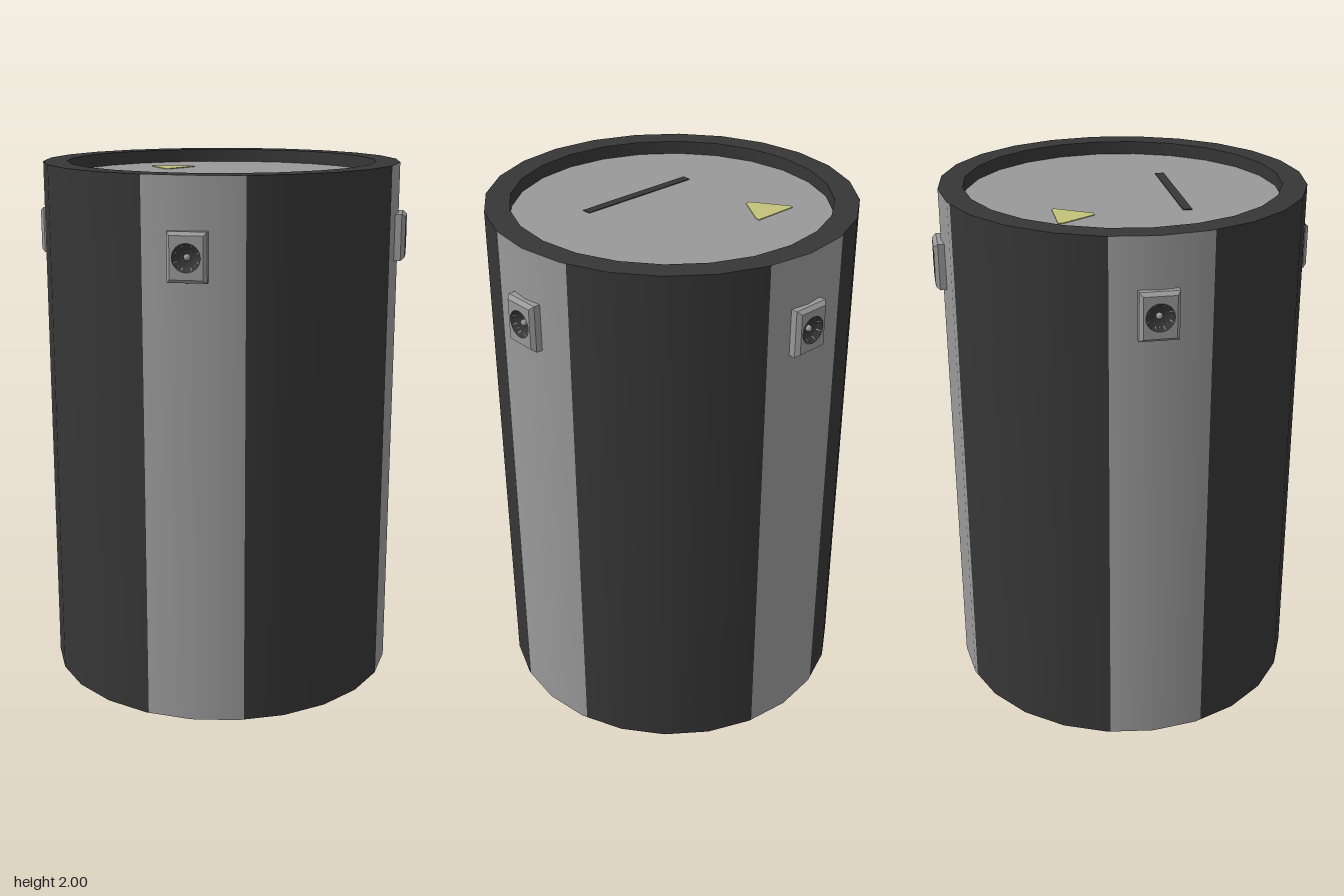
import * as THREE from 'three';
import { toCreasedNormals } from 'three/addons/utils/BufferGeometryUtils.js';

const R = 0.675, INNER = 0.585, H = 2, RECESS = 0.05, STEP = 15;

const material = (name, color) => {
  const m = new THREE.MeshStandardMaterial({ color });
  m.name = name;
  return m;
};

const add = (parent, name, geometry, mat) => {
  const mesh = new THREE.Mesh(geometry, mat);
  mesh.name = name;
  parent.add(mesh);
  return mesh;
};

// Upright wall panel between two angles (degrees, from +z towards +x) of a 24-sided drum
function wallPanel(from, to) {
  const angles = [from];
  for (let a = Math.ceil(from / STEP) * STEP; a < to; a += STEP) if (a > from) angles.push(a);
  angles.push(to);
  const pos = [], nor = [], idx = [];
  angles.forEach((a, i) => {
    const off = ((a % STEP) + STEP) % STEP - STEP / 2;
    const r = R * Math.cos(THREE.MathUtils.degToRad(STEP / 2)) / Math.cos(THREE.MathUtils.degToRad(off));
    const t = THREE.MathUtils.degToRad(a), s = Math.sin(t), c = Math.cos(t);
    pos.push(r * s, 0, r * c, r * s, H, r * c);
    nor.push(s, 0, c, s, 0, c);
    if (i) {
      const k = 2 * i - 2;
      idx.push(k, k + 2, k + 3, k, k + 3, k + 1);
    }
  });
  const g = new THREE.BufferGeometry();
  g.setAttribute('position', new THREE.Float32BufferAttribute(pos, 3));
  g.setAttribute('normal', new THREE.Float32BufferAttribute(nor, 3));
  g.setIndex(idx);
  return g;
}

const lathe = (points, segments) =>
  new THREE.LatheGeometry(points.map(([x, y]) => new THREE.Vector2(x, y)), segments);

// Thin horizontal plate from an outline in x and z
function plate(points) {
  const shape = new THREE.Shape(points.map(([x, z]) => new THREE.Vector2(x, z)));
  return new THREE.ExtrudeGeometry(shape, { depth: 0.004, bevelEnabled: false }).rotateX(Math.PI / 2);
}

// Bevelled rectangular housing with a round opening, facing +z
function housingGeometry() {
  const w = 0.058, h = 0.075;
  const shape = new THREE.Shape([[-w, -h], [w, -h], [w, h], [-w, h]].map(([x, y]) => new THREE.Vector2(x, y)));
  const hole = new THREE.Path();
  hole.absarc(0, 0, 0.05, 0, Math.PI * 2, true);
  shape.holes.push(hole);
  return new THREE.ExtrudeGeometry(shape, {
    depth: 0.05, bevelThickness: 0.015, bevelSize: 0.012, bevelSegments: 1, curveSegments: 12,
  }).translate(0, 0, 0.64);
}

export function createModel() {
  const model = new THREE.Group();
  model.name = 'drum';
  const dark = material('darkGrey', 0x363636);
  const light = material('lightGrey', 0x999999);
  const yellow = material('paleYellow', 0xc3c17a);

  // Drum wall: four light stripes between dark panels
  const a0 = -14.2, a1 = 16.85;
  for (let i = 0; i < 4; i++) {
    add(model, 'lightStripe', wallPanel(i * 90 + a0, i * 90 + a1), light);
    add(model, 'darkPanel', wallPanel(i * 90 + a1, i * 90 + 90 + a0), dark);
  }

  // Rims at both ends with recessed lids
  const topRim = lathe([[R, H], [INNER, H], [INNER, H - RECESS]], 24);
  const bottomRim = lathe([[INNER, RECESS], [INNER, 0], [R, 0]], 24);
  add(model, 'topRim', toCreasedNormals(topRim, 0.6), dark);
  add(model, 'bottomRim', toCreasedNormals(bottomRim, 0.6), dark);
  const lid = new THREE.CircleGeometry(INNER, 24);
  add(model, 'topLid', lid.clone().rotateX(-Math.PI / 2), light).position.y = H - RECESS;
  add(model, 'bottomLid', lid.clone().rotateX(Math.PI / 2), light).position.y = RECESS;

  // Triangle and bar markings on each lid
  const triangle = plate([[-0.335, -0.285], [-0.16, -0.285], [-0.16, -0.27], [-0.235, -0.145],
    [-0.255, -0.145], [-0.335, -0.27]]);
  const bar = plate([[-0.25, 0.173], [0.245, 0.173], [0.245, 0.207], [-0.25, 0.207]]);
  for (const y of [H - RECESS + 0.003, RECESS + 0.001]) {
    add(model, 'triangleMark', triangle, yellow).position.y = y;
    add(model, 'barMark', bar, dark).position.y = y;
  }

  // Four sensors, one on each stripe
  const housing = housingGeometry();
  const bowl = lathe([[0.05, 0.7055], [0.038, 0.69], [0.02, 0.682], [0, 0.68]], 16).rotateX(Math.PI / 2);
  const bead = new THREE.SphereGeometry(0.012, 12, 8).translate(0, 0, 0.685);
  for (let i = 0; i < 4; i++) {
    const sensor = new THREE.Group();
    sensor.name = 'sensor';
    add(sensor, 'housing', housing, light);
    add(sensor, 'lensBowl', bowl, dark);
    add(sensor, 'lensBead', bead, light);
    sensor.position.y = 1.728;
    sensor.rotation.y = i * Math.PI / 2;
    model.add(sensor);
  }
  return model;
}
